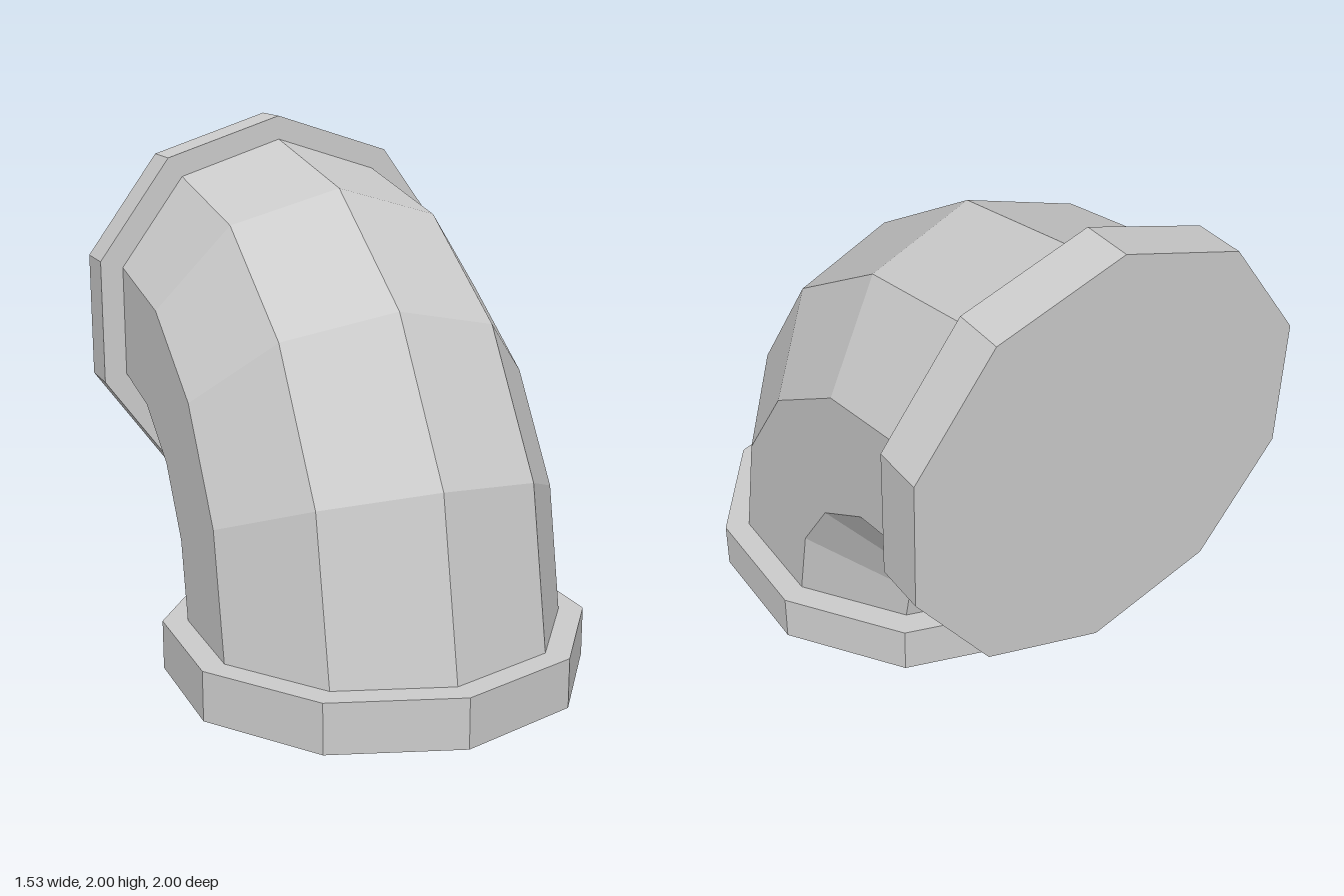
import * as THREE from 'three';

const SIDES = 10;          // sides around the pipe
const PIPE_RADIUS = 0.71;
const FLANGE_RADIUS = 0.805;
const FLANGE_DEPTH = 0.19;
const BEND_RADIUS = 1.005; // pipe centreline
const PIVOT_Z = -0.81;     // bend centre, level with the lower flange's top

export function createModel() {
  const group = new THREE.Group();
  const material = new THREE.MeshStandardMaterial({ color: 0xcccccc, flatShading: true });

  function add(name, geometry, y, z) {
    const mesh = new THREE.Mesh(geometry, material);
    mesh.name = name;
    mesh.position.set(0, y, z);
    group.add(mesh);
    return mesh;
  }

  // Quarter bend in four straight sections, turned into the y-z plane
  const bend = new THREE.TorusGeometry(BEND_RADIUS, PIPE_RADIUS, SIDES, 4, Math.PI / 2);
  bend.rotateY(-Math.PI / 2);
  add('pipeElbow', bend, FLANGE_DEPTH, PIVOT_Z);

  // Closed collars at both ends
  const flange = new THREE.CylinderGeometry(FLANGE_RADIUS, FLANGE_RADIUS, FLANGE_DEPTH, SIDES);
  add('bottomFlange', flange, FLANGE_DEPTH / 2, PIVOT_Z + BEND_RADIUS);
  const back = add('backFlange', flange, FLANGE_DEPTH + BEND_RADIUS, PIVOT_Z - FLANGE_DEPTH / 2);
  back.rotation.x = Math.PI / 2;

  return group;
}
